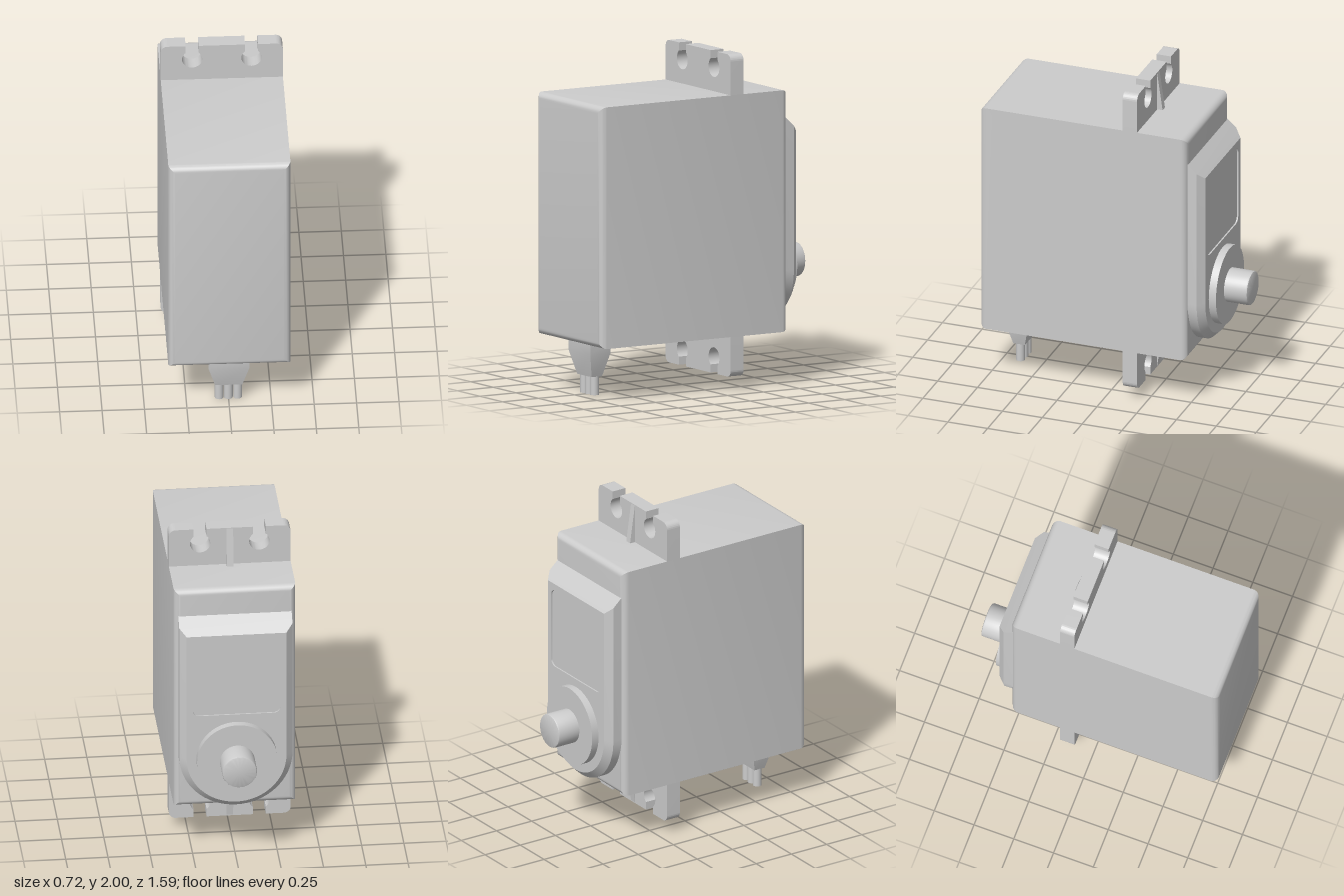
import * as THREE from 'three';
import { toCreasedNormals } from 'three/addons/utils/BufferGeometryUtils.js';

const material = new THREE.MeshStandardMaterial({ color: 0xcccccc });

function part(parent, name, geometry, x = 0, y = 0, z = 0) {
  const mesh = new THREE.Mesh(geometry, material);
  mesh.name = name;
  mesh.position.set(x, y, z);
  parent.add(mesh);
  return mesh;
}

// Skins convex rings of [x, y], counterclockwise, stacked along +z, and caps both ends.
function loft(sections) {
  const n = sections[0].ring.length;
  const positions = [];
  const index = [];
  sections.forEach(({ ring, z }) => ring.forEach(([x, y]) => positions.push(x, y, z)));
  for (let i = 0; i < sections.length - 1; i++) {
    for (let j = 0; j < n; j++) {
      const a = i * n + j, b = i * n + (j + 1) % n;
      index.push(a, b, b + n, a, b + n, a + n);
    }
  }
  const last = (sections.length - 1) * n;
  for (let j = 1; j < n - 1; j++) {
    index.push(0, j + 1, j, last, last + j, last + j + 1);
  }
  const geometry = new THREE.BufferGeometry();
  geometry.setAttribute('position', new THREE.Float32BufferAttribute(positions, 3));
  geometry.setIndex(index);
  return toCreasedNormals(geometry, 0.5);
}

const rect = (w, h, cy = 0) => [[-w, cy - h], [w, cy - h], [w, cy + h], [-w, cy + h]];

function extrude(shape, depth) {
  const geometry = new THREE.ExtrudeGeometry(shape, { depth, bevelEnabled: false, curveSegments: 16 });
  return toCreasedNormals(geometry, 0.5);
}

// Case: sharp long edges, rounded rims at both ends
function caseGeometry() {
  const r = 0.04, steps = 6, back = [], front = [];
  for (let i = 0; i <= steps; i++) {
    const a = (i / steps) * Math.PI / 2;
    const inset = r * (1 - Math.sin(a)), dz = r * (1 - Math.cos(a));
    const ring = rect(0.36 - inset, 0.72 - inset, 1.04);
    back.push({ ring, z: -0.51 + dz });
    front.unshift({ ring, z: 0.79 - dz });
  }
  return loft([...back, ...front]);
}

// Gear cover outline: half round below, square above
const shaftY = 0.683;
function coverRing(r, top) {
  const ring = [];
  for (let i = 0; i <= 32; i++) {
    const a = Math.PI * (1 + i / 32);
    ring.push([r * Math.cos(a), shaftY + r * Math.sin(a)]);
  }
  return [...ring, [r, top], [-r, top]];
}

// Mounting tab with two keyhole slots open to its outer edge
function tabShape() {
  const w = 0.36, h = 0.24, c = 0.04, hole = 0.06, slot = 0.038, hy = 0.145;
  const a = Math.acos(slot / hole);
  const s = new THREE.Shape();
  s.moveTo(-w, 0);
  s.lineTo(w, 0);
  s.lineTo(w, h - c);
  s.absarc(w - c, h - c, c, 0, Math.PI / 2, false);
  for (const x of [0.175, -0.175]) {
    s.lineTo(x + slot, h);
    s.absarc(x, hy, hole, a, Math.PI - a, true);
    s.lineTo(x - slot, h);
  }
  s.lineTo(-w + c, h);
  s.absarc(-w + c, h - c, c, Math.PI / 2, Math.PI, false);
  s.closePath();
  return s;
}

function mountingTab(name) {
  const group = new THREE.Group();
  group.name = name;
  part(group, 'tabPlate', extrude(tabShape(), 0.09), 0, 0, -0.2);
  // Tapered stiffening rib on the back of the tab
  const profile = new THREE.Shape([[0.19, 0], [0.234, 0], [0.2, 0.235], [0.19, 0.235]]
    .map(([u, v]) => new THREE.Vector2(u, v)));
  const rib = extrude(profile, 0.04).translate(0, 0, -0.02).rotateY(Math.PI / 2);
  part(group, 'tabRib', rib);
  return group;
}

export function createModel() {
  const model = new THREE.Group();
  model.name = 'servoMotor';

  part(model, 'case', caseGeometry());

  // Gear cover with chamfered rim; the first ring is the floor of the shallow panel
  const faceRing = coverRing(0.295, 1.5);
  part(model, 'gearCover', loft([
    { ring: faceRing, z: -0.596 },
    { ring: faceRing, z: -0.605 },
    { ring: coverRing(0.335, 1.54), z: -0.565 },
    { ring: coverRing(0.335, 1.595), z: -0.505 },
  ]));

  // Cover face with the rounded panel cut out
  const face = new THREE.Shape(faceRing.map(([x, y]) => new THREE.Vector2(x, y)));
  const panel = new THREE.Path();
  const px = 0.26, y0 = 0.97, y1 = 1.46, r = 0.04;
  panel.absarc(px - r, y0 + r, r, -Math.PI / 2, 0, false);
  panel.absarc(px - r, y1 - r, r, 0, Math.PI / 2, false);
  panel.absarc(-px + r, y1 - r, r, Math.PI / 2, Math.PI, false);
  panel.absarc(-px + r, y0 + r, r, Math.PI, Math.PI * 1.5, false);
  panel.closePath();
  face.holes.push(panel);
  part(model, 'coverFace', extrude(face, 0.009), 0, 0, -0.605);

  // Bearing collar and output shaft
  const collar = new THREE.CylinderGeometry(0.238, 0.238, 0.05, 48).rotateX(-Math.PI / 2);
  part(model, 'bearingCollar', collar, 0, shaftY, -0.625);
  const shaftProfile = [[0.103, 0], [0.103, 0.145], [0.1, 0.152], [0.093, 0.155], [0, 0.155]]
    .map(([x, y]) => new THREE.Vector2(x, y));
  const shaft = toCreasedNormals(new THREE.LatheGeometry(shaftProfile, 40), 0.5).rotateX(-Math.PI / 2);
  part(model, 'outputShaft', shaft, 0, shaftY, -0.64);

  // Mounting tabs above and below
  const topTab = mountingTab('topTab');
  topTab.position.y = 1.76;
  const bottomTab = mountingTab('bottomTab');
  bottomTab.position.y = 0.32;
  bottomTab.rotation.z = Math.PI;
  model.add(topTab, bottomTab);

  // Cable boot and three wires under the case
  const boot = loft([
    { ring: rect(0.12, 0.07), z: -0.33 },
    { ring: rect(0.12, 0.07), z: -0.25 },
    { ring: rect(0.08, 0.036), z: -0.11 },
  ]).rotateX(Math.PI / 2);
  part(model, 'cableBoot', boot, 0, 0, 0.645);
  for (const x of [-0.055, 0, 0.055]) {
    part(model, 'wire', new THREE.CylinderGeometry(0.026, 0.026, 0.12, 20), x, 0.06, 0.645);
  }

  return model;
}
